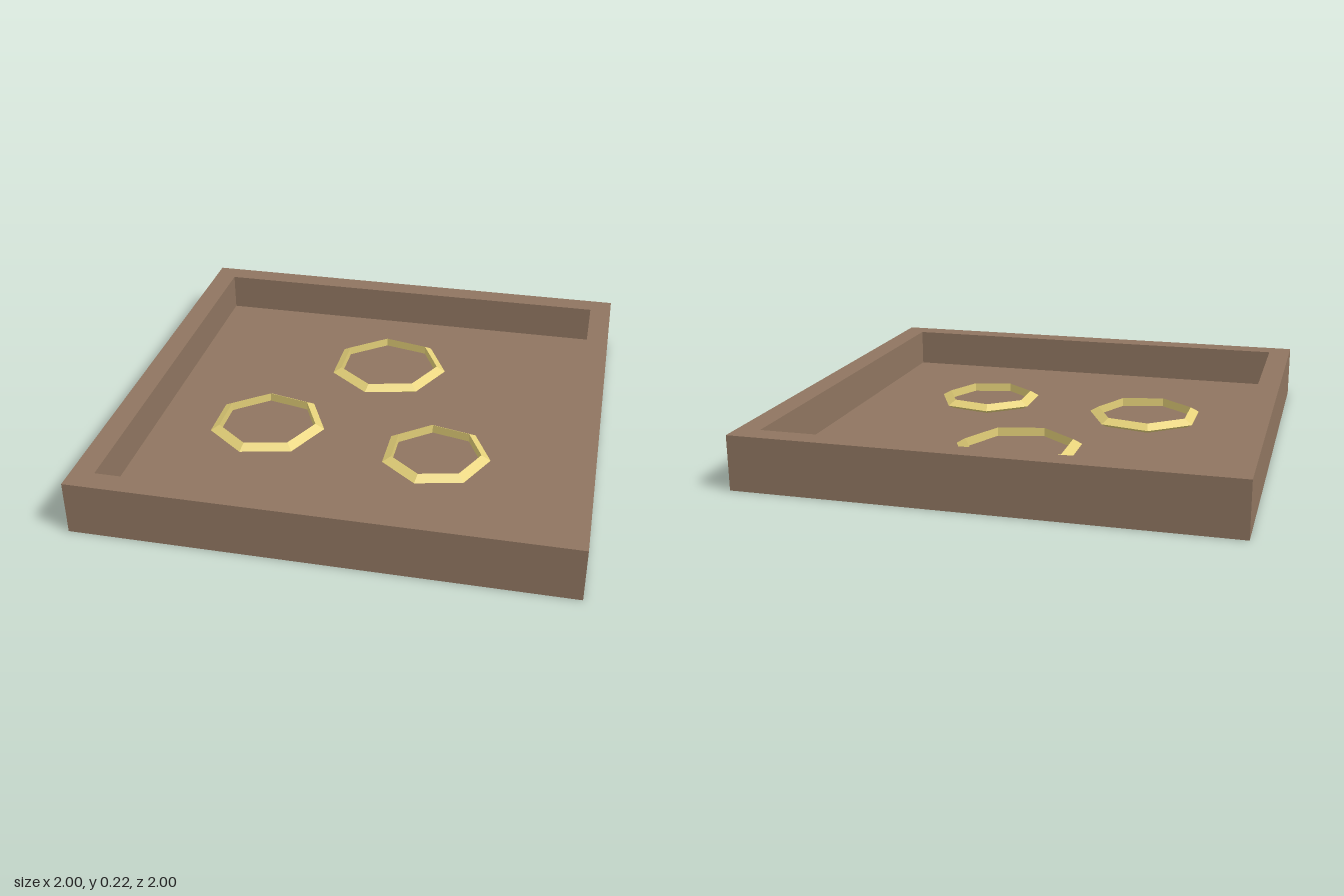
import * as THREE from 'three';

const HEIGHT = 0.225, FLOOR = 0.06, INNER = 0.905, TUBE = 0.026;

export function createModel() {
  const model = new THREE.Group();
  model.name = 'trayWithRings';

  const wood = new THREE.MeshStandardMaterial({ color: 0x8f7560, flatShading: true });
  const gold = new THREE.MeshStandardMaterial({ color: 0xe6d27a, flatShading: true });

  // Square tray: base, walls, rim and recessed floor as one four-sided turned profile
  const profile = [
    [0, 0], [1, 0], [1, HEIGHT], [INNER, HEIGHT], [INNER, FLOOR], [0, FLOOR],
  ].map(([half, y]) => new THREE.Vector2(half * Math.SQRT2, y));
  const tray = new THREE.Mesh(new THREE.LatheGeometry(profile, 4, Math.PI / 4), wood);
  tray.name = 'tray';
  model.add(tray);

  // Seven-sided rings with a triangular section, lying on the tray floor
  const rings = [
    { name: 'largeRing', x: 0, z: -0.42, radius: 0.242 },
    { name: 'mediumRing', x: -0.418, z: 0.185, radius: 0.226 },
    { name: 'smallRing', x: 0.338, z: 0.28, radius: 0.206 },
  ];
  for (const { name, x, z, radius } of rings) {
    const ring = new THREE.Mesh(new THREE.TorusGeometry(radius, TUBE, 3, 7), gold);
    ring.name = name;
    ring.rotation.x = -Math.PI / 2;
    ring.position.set(x, 0.075, z);
    model.add(ring);
  }

  return model;
}
